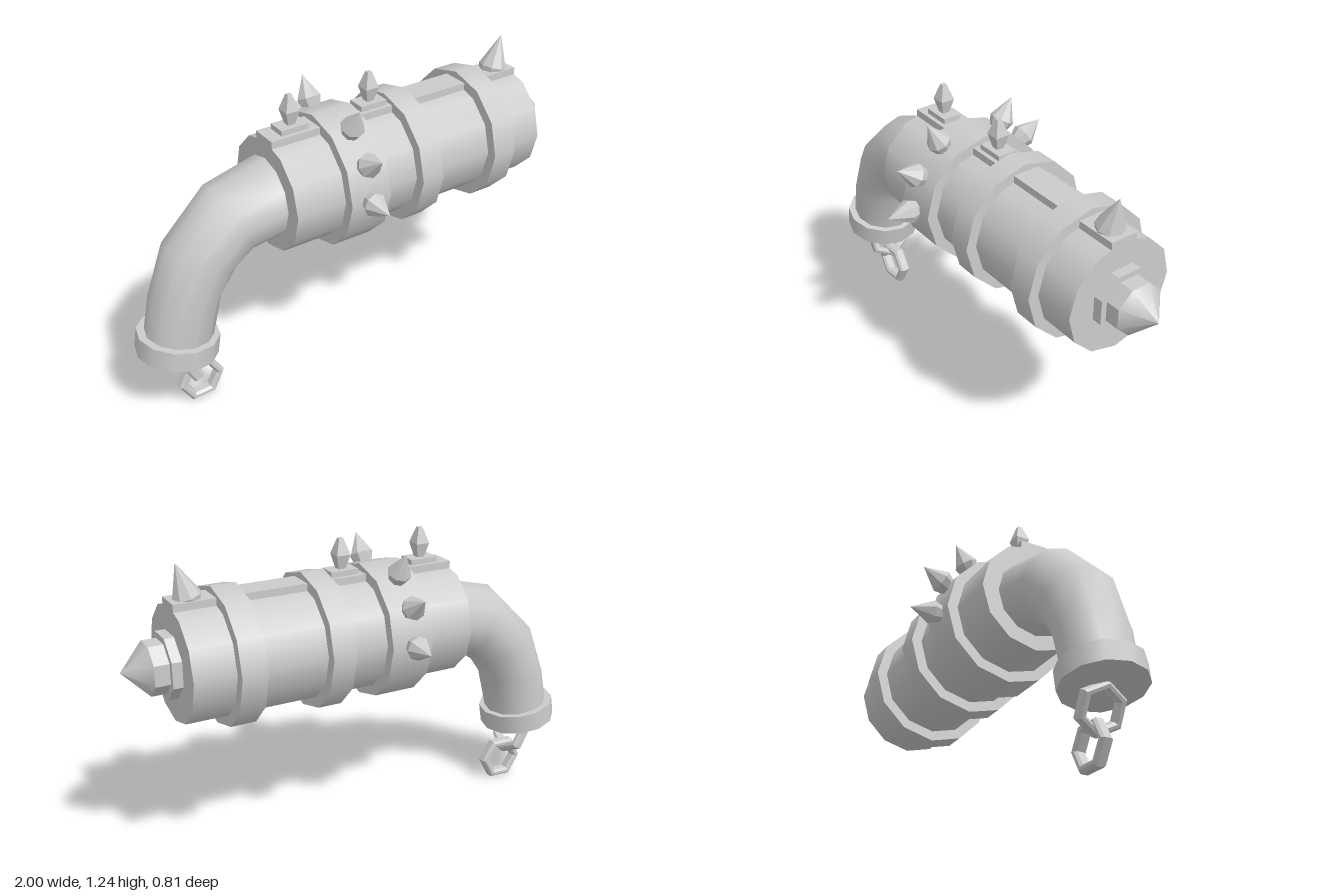
import * as THREE from 'three';

const smooth = new THREE.MeshStandardMaterial({ color: 0xcccccc });
const faceted = new THREE.MeshStandardMaterial({ color: 0xcccccc, flatShading: true });
const AXIS_Y = 0.85; // height of the barrel axis

export function createModel() {
  const model = new THREE.Group();

  const add = (name, geometry, material, x = 0, y = 0, z = 0, parent = model) => {
    const mesh = new THREE.Mesh(geometry, material);
    mesh.name = name;
    mesh.position.set(x, y, z);
    parent.add(mesh);
    return mesh;
  };

  // Cylinder lying along the barrel axis from x0 to x1
  const drum = (name, x0, x1, r0, r1, sides, material, turn = 0) => {
    const g = new THREE.CylinderGeometry(r1, r0, x1 - x0, sides).rotateY(turn).rotateZ(-Math.PI / 2);
    return add(name, g, material, (x0 + x1) / 2, AXIS_Y, 0);
  };

  // Pointed stud from [radius, height] pairs
  const stud = (profile, sides) =>
    new THREE.LatheGeometry(profile.map(([r, h]) => new THREE.Vector2(r, h)), sides);

  // Barrel with its raised bands and top rail
  drum('barrel', -0.4, 0.8, 0.235, 0.235, 12, smooth);
  [[-0.185, -0.005], [0.155, 0.255], [0.525, 0.63]].forEach(([a, b], i) =>
    drum('band' + (i + 1), a, b, 0.28, 0.28, 12, smooth));
  add('topRail', new THREE.BoxGeometry(1.2, 0.06, 0.116), smooth, 0.2, 1.07, 0);

  // Muzzle: washer, nut and pointed tip
  drum('muzzleWasher', 0.8, 0.84, 0.133, 0.133, 8, faceted, Math.PI / 8);
  drum('muzzleNut', 0.84, 0.9, 0.107, 0.107, 8, faceted, Math.PI / 8);
  drum('muzzleTip', 0.9, 1.0, 0.107, 0, 8, smooth, Math.PI / 8);

  // Spikes fanned around the rear band
  const spikeGeometry = stud([[0.034, 0], [0.05, 0.045], [0, 0.14]], 8);
  for (const degrees of [0, 30, 60, 120, 150, 180]) {
    const a = THREE.MathUtils.degToRad(degrees);
    const spike = add('bandSpike', spikeGeometry, faceted,
      -0.1, AXIS_Y + 0.265 * Math.sin(a), 0.265 * Math.cos(a));
    spike.rotation.x = Math.PI / 2 - a;
  }

  // Front sight spike leaning towards the muzzle
  const frontSight = add('frontSightSpike', stud([[0.05, 0], [0.058, 0.03], [0, 0.165]], 8), faceted, 0.718, 1.08, 0);
  frontSight.rotation.z = -0.27;

  // Two small sights on plates
  const sightGeometry = stud([[0.021, 0], [0.042, 0.06], [0.013, 0.125], [0, 0.125]], 4).rotateY(Math.PI / 4);
  for (const x of [-0.285, 0.08]) {
    add('sightPlate', new THREE.BoxGeometry(0.12, 0.03, 0.08), faceted, x, 1.107, 0);
    add('sightPin', sightGeometry, faceted, x, 1.12, 0);
  }

  // Curved grip lofted through sections: outer x, y, inner x, y, half depth
  const sections = [
    [-0.39, 1.01, -0.39, 0.68, 0.165],
    [-0.64, 0.947, -0.505, 0.662, 0.157],
    [-0.843, 0.748, -0.575, 0.61, 0.15],
    [-0.927, 0.52, -0.642, 0.52, 0.145],
    [-0.965, 0.35, -0.69, 0.32, 0.135],
  ];
  const sides = 12, points = [], faces = [];
  sections.forEach(([ox, oy, ix, iy, depth], i) => {
    for (let j = 0; j < sides; j++) {
      const a = (j / sides) * Math.PI * 2, c = Math.cos(a) / 2;
      points.push((ox + ix) / 2 + (ox - ix) * c, (oy + iy) / 2 + (oy - iy) * c, depth * Math.sin(a));
      if (i === sections.length - 1) continue;
      const p = i * sides + j, q = i * sides + ((j + 1) % sides);
      faces.push(p, p + sides, q, q, p + sides, q + sides);
    }
  });
  const grip = new THREE.BufferGeometry();
  grip.setAttribute('position', new THREE.Float32BufferAttribute(points, 3));
  grip.setIndex(faces);
  grip.computeVertexNormals();
  add('grip', grip, smooth);

  // Cap on the end of the grip
  const cap = add('gripCap', new THREE.CylinderGeometry(0.166, 0.166, 0.085, 12), smooth, -0.832, 0.322, 0);
  cap.rotation.z = -0.165;

  // Two hexagonal chain links, set crosswise
  const hexagon = (Path, r) => new Path().setFromPoints(
    Array.from({ length: 6 }, (_, i) => new THREE.Vector2(r * Math.cos(i * Math.PI / 3), r * Math.sin(i * Math.PI / 3))));
  const outline = hexagon(THREE.Shape, 0.091);
  outline.holes.push(hexagon(THREE.Path, 0.077));
  const linkGeometry = new THREE.ExtrudeGeometry(outline,
    { depth: 0.03, bevelSize: 0.009, bevelThickness: 0.01, bevelSegments: 1 }).translate(0, 0, -0.015);
  const upper = add('upperChainLink', linkGeometry.clone().rotateZ(Math.PI / 2).rotateY(Math.PI / 2), faceted, -0.812, 0.208, 0);
  upper.rotation.z = 0.49;
  add('lowerChainLink', linkGeometry, faceted, -0.75, 0.093, 0).rotation.z = 0.04;

  return model;
}
